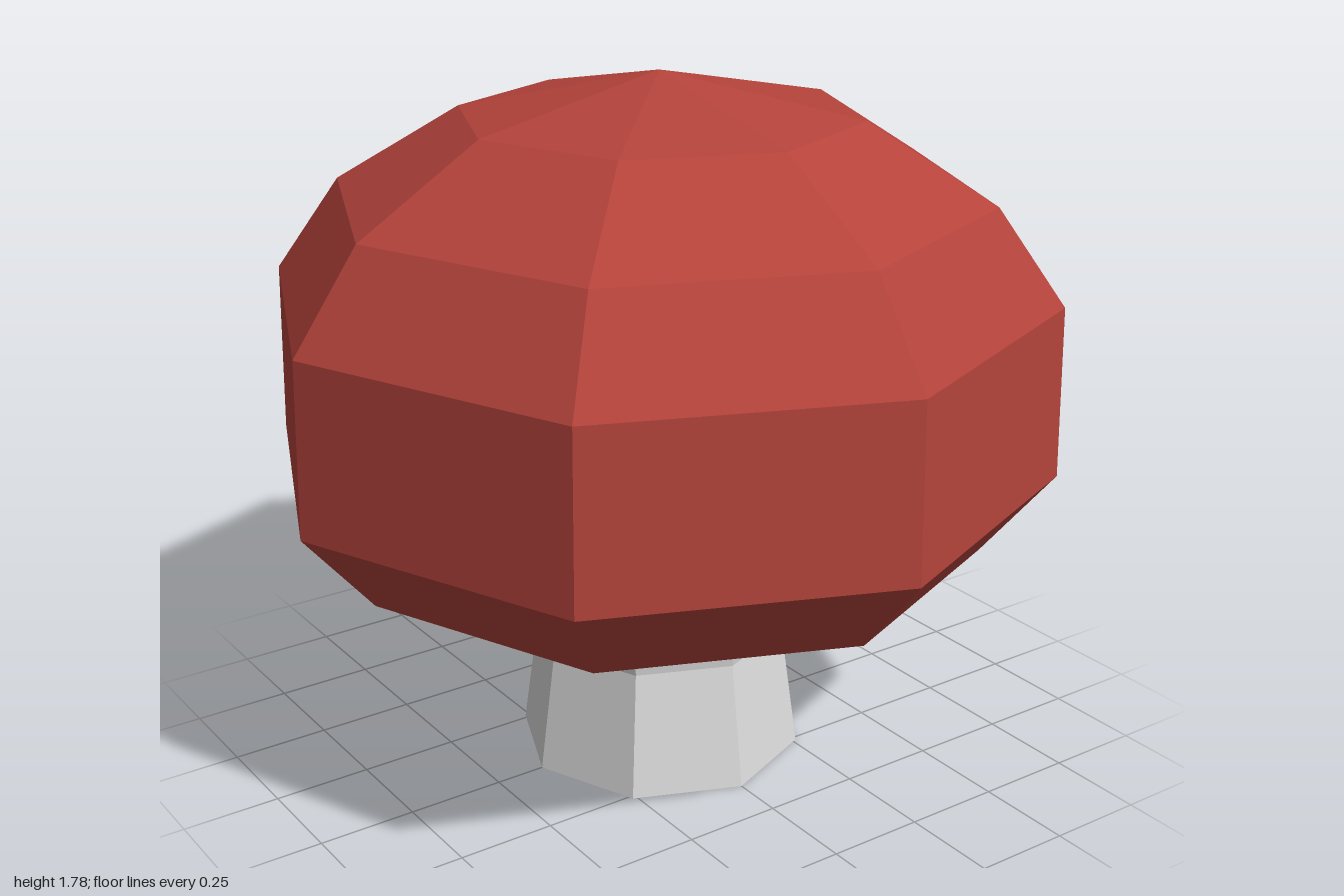
import * as THREE from 'three';

const capRed = new THREE.MeshStandardMaterial({ color: 0xb4433b });
capRed.name = 'capRed';
const stemGrey = new THREE.MeshStandardMaterial({ color: 0xdcdcdc });
stemGrey.name = 'stemGrey';

// Eight-sided faceted solid of revolution; profile runs from bottom to top
function facetedLathe(name, profile, material) {
  const points = profile.map(([r, y]) => new THREE.Vector2(r, y));
  const geometry = new THREE.LatheGeometry(points, 8).toNonIndexed();
  geometry.computeVertexNormals();
  const mesh = new THREE.Mesh(geometry, material);
  mesh.name = name;
  return mesh;
}

export function createModel() {
  const model = new THREE.Group();
  model.name = 'mushroom';

  // Waisted stem, closed at both ends
  model.add(facetedLathe('stem', [
    [0, 0], [0.37, 0], [0.325, 0.325], [0.38, 0.7], [0, 0.7],
  ], stemGrey));

  // Cap: hollow underside, rim, then the dome up to its point
  model.add(facetedLathe('cap', [
    [0, 0.72], [0.36, 0.71], [0.61, 0.555], [0.82, 0.59], [1, 0.805],
    [0.99, 1.24], [0.82, 1.48], [0.5, 1.675], [0, 1.78],
  ], capRed));

  return model;
}
